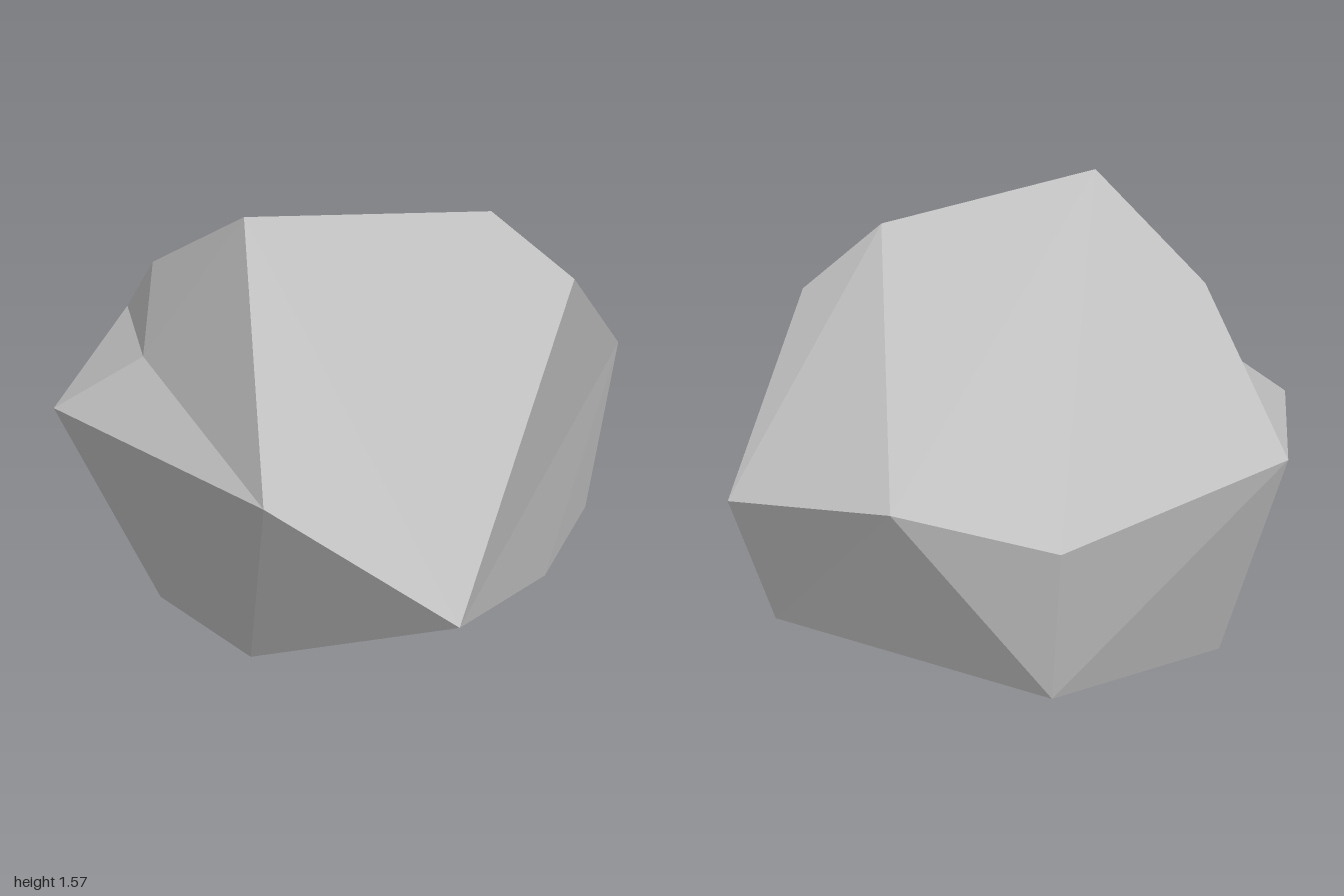
import * as THREE from 'three';

// Corners of the boulder
const P = {
  A: [0.04, 1.57, 0.61], B: [0.62, 1.49, -0.02], C: [0.88, 1.26, -0.13],
  D: [0.30, 0.79, 1.0], E: [0.84, 0.37, 0.72], F: [-0.45, 1.27, 0.35],
  G: [-0.38, 1.01, 0.55], H: [-0.88, 0.87, -0.17], I: [-0.70, 0.79, 0.62],
  J: [0.04, 0, 0.61], K: [-0.43, 0.02, 0.41], L: [0.83, 0.14, -0.13],
  M: [-0.66, 0.09, -0.12], N: [0.19, 0.88, -1.0], O: [0.83, 0.77, -0.86],
  P: [-0.32, 0.76, -0.86], Q: [0.82, 0.2, -0.6], R: [-0.27, 0.2, -0.8],
};

// Facets, each named by its corners in loop order
const facets = [
  'ABNPHF', 'BCO', 'BON',                      // sloping top
  'ABCED', 'CEO', 'ELO', 'LQO',                // +x side
  'OQN', 'NQR', 'NRP', 'PRH',                  // back
  'HRM', 'HMK', 'HKI',                         // -x side
  'IKJ', 'IJD', 'DJE', 'EJL',                  // lower front
  'HFG', 'HGI', 'AFG', 'AGD', 'GID',           // chipped upper front
  'JLQRMK',                                    // underside
];

// Fans every facet into triangles, turning each one outward
function facetedGeometry() {
  const centre = new THREE.Vector3(0, 0.75, 0);
  const positions = [];
  for (const facet of facets) {
    const loop = [...facet].map((k) => new THREE.Vector3(...P[k]));
    for (let i = 1; i < loop.length - 1; i++) {
      const tri = [loop[0], loop[i], loop[i + 1]];
      const normal = new THREE.Triangle(...tri).getNormal(new THREE.Vector3());
      if (normal.dot(tri[0].clone().sub(centre)) < 0) tri.reverse();
      tri.forEach((v) => positions.push(v.x, v.y, v.z));
    }
  }
  const geometry = new THREE.BufferGeometry();
  geometry.setAttribute('position', new THREE.Float32BufferAttribute(positions, 3));
  geometry.computeVertexNormals(); // unshared corners give flat facets
  return geometry;
}

export function createModel() {
  const stone = new THREE.MeshStandardMaterial({ color: 0xbcbcbc });
  stone.name = 'grey stone';

  const boulder = new THREE.Mesh(facetedGeometry(), stone);
  boulder.name = 'boulder';

  const group = new THREE.Group();
  group.name = 'rock';
  group.add(boulder);
  return group;
}
